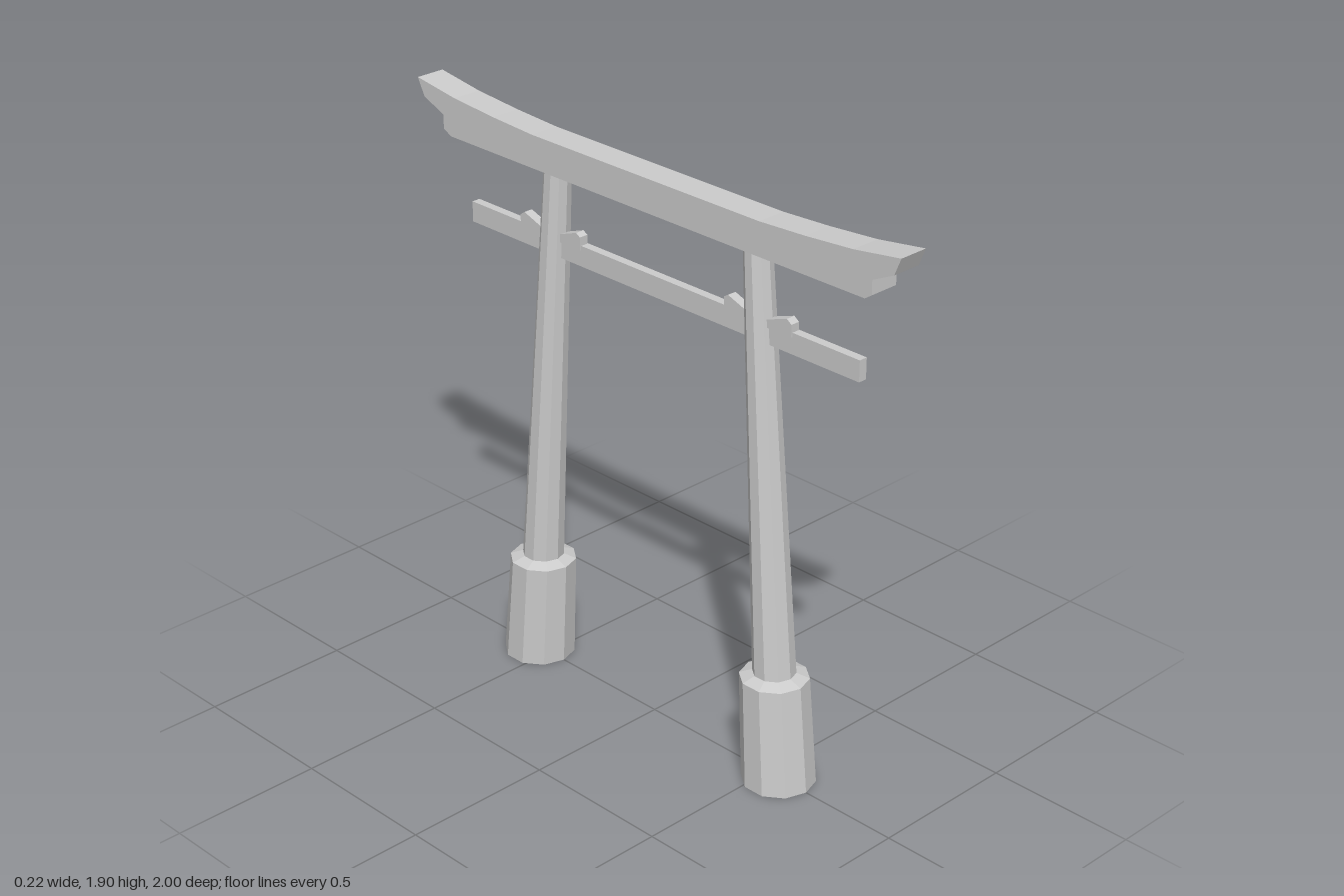
import * as THREE from 'three';

const material = new THREE.MeshStandardMaterial({ color: 0xcccccc, flatShading: true, side: THREE.DoubleSide });

function addMesh(parent, name, geometry) {
  const mesh = new THREE.Mesh(geometry, material);
  mesh.name = name;
  parent.add(mesh);
  return mesh;
}

// Extrudes a [z, y] outline across x, centred on the given x
function slab(outline, width, x = 0) {
  const shape = new THREE.Shape(outline.map(([z, y]) => new THREE.Vector2(z, y)));
  const geometry = new THREE.ExtrudeGeometry(shape, { depth: width, bevelEnabled: false });
  return geometry.translate(0, 0, -width / 2).rotateY(-Math.PI / 2).translate(x, 0, 0);
}

// Ten-sided turned form, sheared so that it leans inward as it rises
function leaningColumn(profile, side) {
  const points = profile.map(([r, y]) => new THREE.Vector2(r, y));
  const geometry = new THREE.LatheGeometry(points, 10);
  const pos = geometry.attributes.position;
  for (let i = 0; i < pos.count; i++) {
    pos.setZ(i, pos.getZ(i) + side * (0.546 - 0.0725 * pos.getY(i)));
  }
  geometry.computeVertexNormals();
  return geometry;
}

export function createModel() {
  const gate = new THREE.Group();
  gate.name = 'gate';

  for (const side of [1, -1]) {
    const pillar = new THREE.Group();
    pillar.name = side > 0 ? 'frontPillar' : 'backPillar';
    gate.add(pillar);

    // Wide foot with a shallow sloping top
    addMesh(pillar, 'foot', leaningColumn([[0, 0], [0.117, 0], [0.109, 0.358], [0.068, 0.373]], side));
    // Tapered post
    addMesh(pillar, 'post', leaningColumn([[0.0683, 0.36], [0.044, 1.743], [0, 1.743]], side));
    // Wedges either side of the post, on top of the tie beam
    const wedge = [[0.573, 1.51], [0.573, 1.55], [0.555, 1.563], [0.475, 1.535],
      [0.4, 1.535], [0.322, 1.563], [0.305, 1.553], [0.305, 1.51]];
    addMesh(pillar, 'wedges', slab(wedge.map(([z, y]) => [z * side, y]), 0.031, -0.003));
  }

  // Tie beam through both posts
  const tie = addMesh(gate, 'tieBeam', new THREE.BoxGeometry(0.029, 0.068, 1.635));
  tie.position.set(0.001, 1.49, 0.012);

  // Top beam with upswept ends and a stepped underside
  addMesh(gate, 'topBeam', slab([
    [-0.85, 1.74], [0.875, 1.74], [0.9, 1.757], [0.9, 1.803], [0.977, 1.84],
    [1, 1.896], [0.827, 1.871], [0.65, 1.857], [0.474, 1.848],
    [-0.474, 1.848], [-0.65, 1.857], [-0.827, 1.871], [-1, 1.896],
    [-0.972, 1.84], [-0.883, 1.803], [-0.883, 1.757],
  ], 0.1, -0.005));

  return gate;
}
